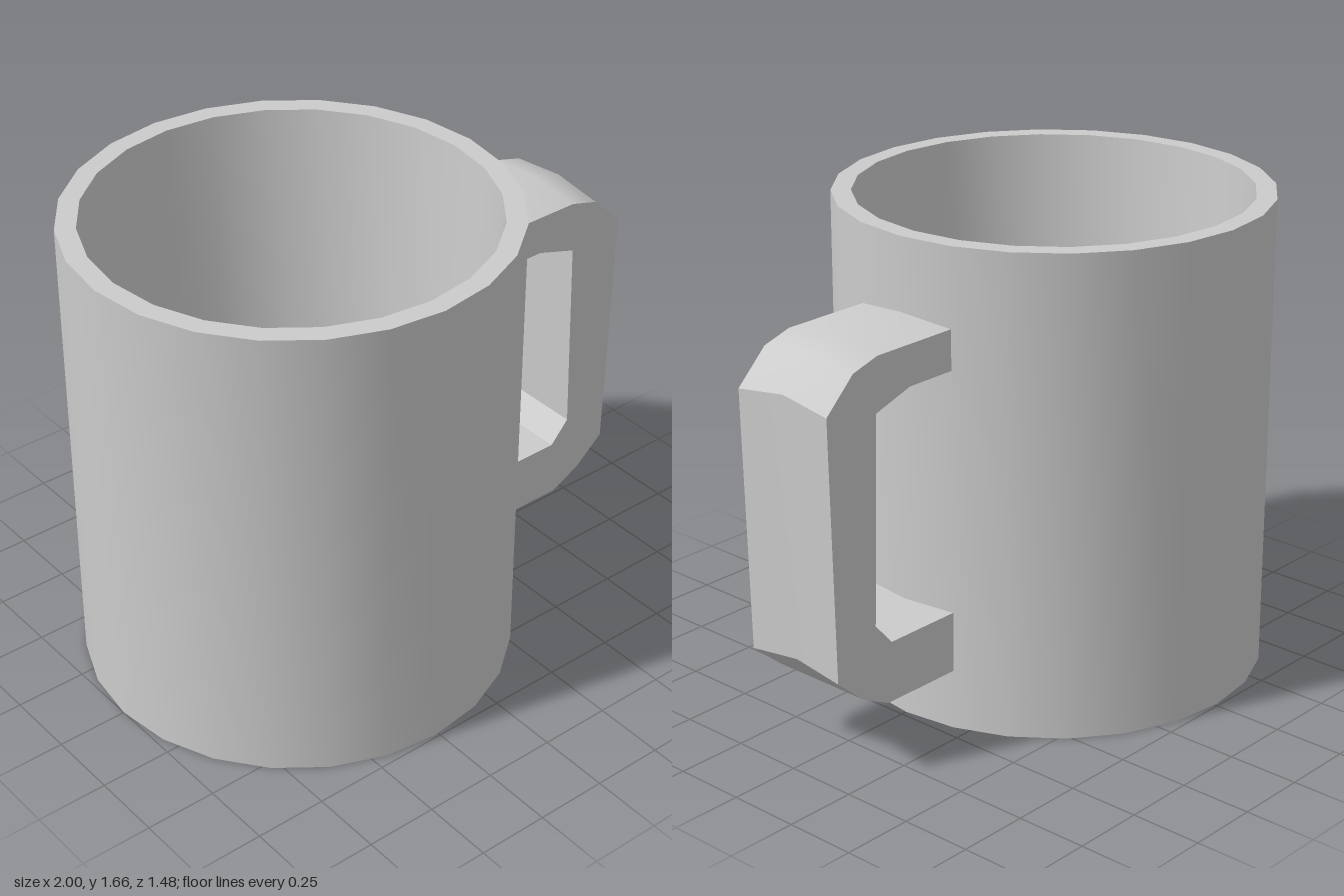
import * as THREE from 'three';
import { toCreasedNormals } from 'three/addons/utils/BufferGeometryUtils.js';

const material = new THREE.MeshStandardMaterial({ color: 0xcccccc });

// Open cup: straight outside, slightly tapered inside, flat floor
function makeCup() {
  const profile = [[0, 0], [0.74, 0], [0.74, 1.665], [0.672, 1.665], [0.6, 0.09], [0, 0.09]]
    .map(([r, y]) => new THREE.Vector2(r, y));
  const cup = new THREE.Mesh(toCreasedNormals(new THREE.LatheGeometry(profile, 24), 0.5), material);
  cup.name = 'cup';
  cup.position.x = -0.26;
  return cup;
}

// Chunky handle: a bent strap with a shallow ridge along its middle
function makeHandle() {
  // Clockwise outline: outer side from top to bottom, then inner side back up
  const edge = [
    [0.44, 1.395], [0.78, 1.395], [0.885, 1.365], [1.0, 1.255], [0.98, 0.36], [0.87, 0.265], [0.76, 0.21], [0.44, 0.21],
    [0.44, 0.42], [0.74, 0.42], [0.81, 0.5], [0.79, 1.21], [0.64, 1.257], [0.44, 1.257],
  ];
  // Middle outline differs only along the outer side
  const middle = edge.map((p) => [...p]);
  [[0.44, 1.415], [0.78, 1.415], [0.89, 1.385], [0.993, 1.28], [0.97, 0.38]].forEach((p, i) => { middle[i] = p; });

  const sections = [[-0.195, edge], [0, middle], [0.19, edge]];
  const n = edge.length;
  const positions = sections.flatMap(([z, outline]) => outline.flatMap(([x, y]) => [x, y, z]));
  const index = [];
  for (let s = 0; s < 2; s++) {
    for (let i = 0; i < n; i++) {
      const a = s * n + i, b = s * n + (i + 1) % n;
      index.push(a, a + n, b, b, a + n, b + n);
    }
  }
  // Flat sides
  const points = edge.map(([x, y]) => new THREE.Vector2(x, y));
  for (const [a, b, c] of THREE.ShapeUtils.triangulateShape(points, [])) {
    const [p, q, r] = [points[a], points[b], points[c]];
    const ccw = (q.x - p.x) * (r.y - p.y) - (q.y - p.y) * (r.x - p.x) > 0;
    const [u, v] = ccw ? [b, c] : [c, b];
    index.push(a + 2 * n, u + 2 * n, v + 2 * n, a, v, u);
  }
  const geometry = new THREE.BufferGeometry();
  geometry.setAttribute('position', new THREE.Float32BufferAttribute(positions, 3));
  geometry.setIndex(index);
  const handle = new THREE.Mesh(toCreasedNormals(geometry, 0.6), material);
  handle.name = 'handle';
  return handle;
}

export function createModel() {
  const mug = new THREE.Group();
  mug.name = 'mug';
  mug.add(makeCup(), makeHandle());
  return mug;
}
